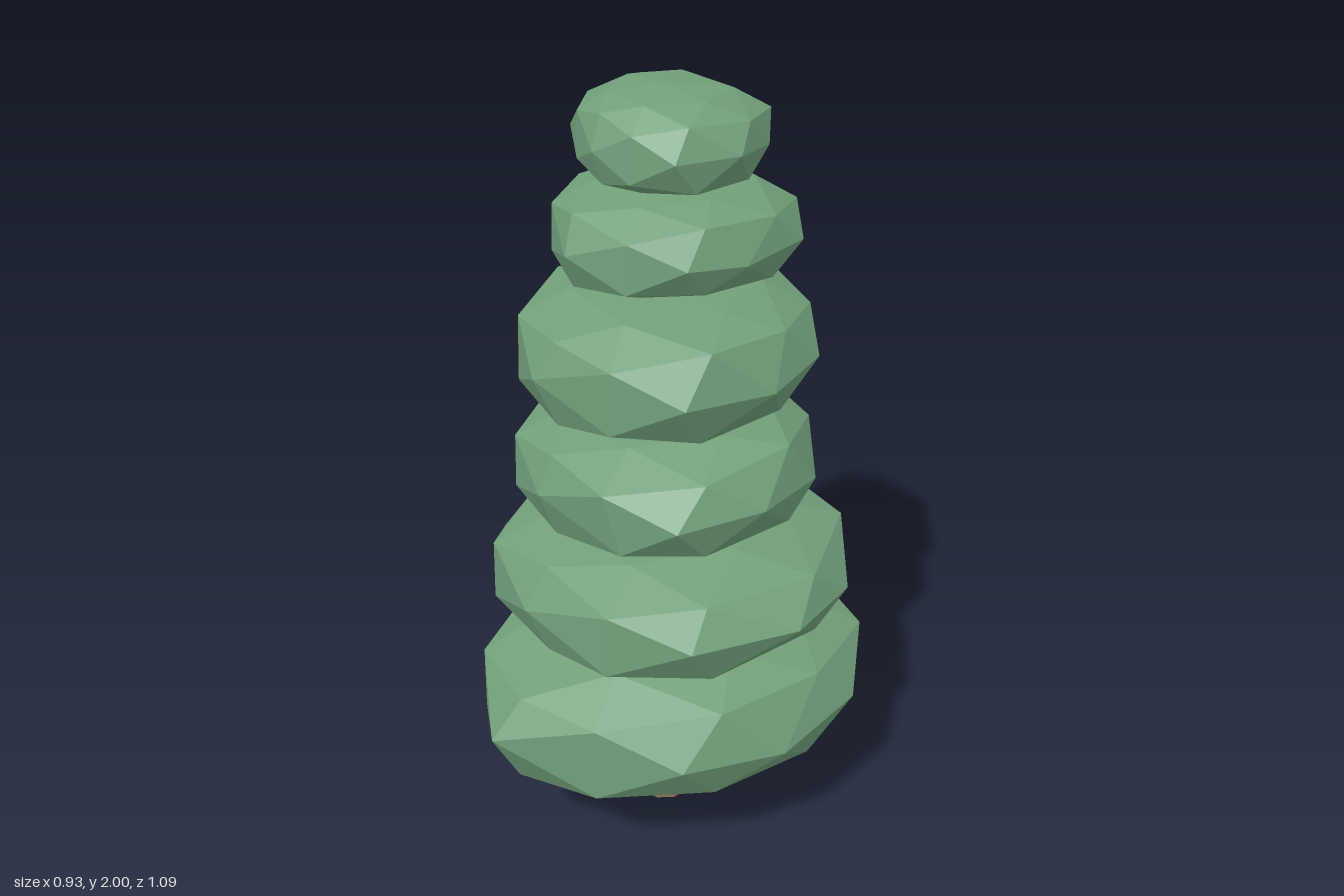
import * as THREE from 'three';
import { mergeVertices } from 'three/addons/utils/BufferGeometryUtils.js';

// Small seeded generator for the irregular foliage
function seeded(seed) {
  let s = seed;
  return () => {
    s = (s * 16807) % 2147483647;
    return s / 2147483647;
  };
}

// Radius of a plan outline given by 12 radii, 30 degrees apart, from +x towards +z
function outlineRadius(radii, angle) {
  const t = ((angle / (Math.PI * 2) + 1) % 1) * radii.length;
  const i = Math.floor(t);
  return THREE.MathUtils.lerp(radii[i % radii.length], radii[(i + 1) % radii.length], t - i);
}

// Faceted cushion with flattened top and underside, following a plan outline
function foliageGeometry({ bottom, top, radii }, seed) {
  let geo = new THREE.IcosahedronGeometry(1, 1);
  geo.deleteAttribute('normal');
  geo.deleteAttribute('uv');
  geo = mergeVertices(geo, 1e-3);
  const random = seeded(seed);
  const jitter = (amount) => (random() - 0.5) * amount;
  const middle = (top + bottom) / 2;
  const half = (top - bottom) / 2;

  const pos = geo.attributes.position;
  const p = new THREE.Vector3();
  for (let i = 0; i < pos.count; i++) {
    p.fromBufferAttribute(pos, i);
    const angle = Math.atan2(p.z, p.x);
    const spread = Math.hypot(p.x, p.z) ** 0.85 * (1.02 + jitter(0.05));
    const r = spread * outlineRadius(radii, angle);
    const turn = angle + jitter(0.12);
    const rise = Math.sign(p.y) * Math.abs(p.y) ** 0.65;
    const lift = Math.abs(p.y) < 0.7 ? jitter(0.18) : 0;
    pos.setXYZ(i, r * Math.cos(turn), middle + half * (rise + lift), r * Math.sin(turn));
  }
  geo.computeVertexNormals();
  return geo;
}

export function createModel() {
  const tree = new THREE.Group();
  tree.name = 'layeredTree';

  const bark = new THREE.MeshStandardMaterial({ color: 0x8a7357, flatShading: true });
  const leaves = new THREE.MeshStandardMaterial({ color: 0x72a07a, flatShading: true });

  // Tapered trunk running up through the foliage
  const trunk = new THREE.Mesh(new THREE.CylinderGeometry(0.058, 0.077, 1.7, 10), bark);
  trunk.position.y = 0.85;
  trunk.name = 'trunk';
  tree.add(trunk);

  // Foliage layers from the ground up
  const layers = [
    { bottom: 0.23, top: 0.635, radii: [0.47, 0.455, 0.48, 0.54, 0.484, 0.435, 0.455, 0.485, 0.465, 0.53, 0.53, 0.495] },
    { bottom: 0.615, top: 0.935, radii: [0.46, 0.43, 0.43, 0.42, 0.44, 0.42, 0.42, 0.44, 0.43, 0.465, 0.47, 0.47] },
    { bottom: 0.925, top: 1.235, radii: [0.37, 0.38, 0.37, 0.365, 0.37, 0.37, 0.36, 0.37, 0.37, 0.365, 0.38, 0.38] },
    { bottom: 1.225, top: 1.545, radii: [0.355, 0.36, 0.36, 0.365, 0.35, 0.345, 0.335, 0.35, 0.35, 0.365, 0.35, 0.36] },
    { bottom: 1.555, top: 1.795, radii: [0.285, 0.275, 0.275, 0.29, 0.26, 0.26, 0.24, 0.255, 0.275, 0.26, 0.315, 0.315] },
    { bottom: 1.78, top: 2, radii: [0.235, 0.215, 0.2, 0.195, 0.195, 0.215, 0.215, 0.21, 0.22, 0.19, 0.235, 0.235] },
  ];
  layers.forEach((layer, i) => {
    const mesh = new THREE.Mesh(foliageGeometry(layer, 7919 * (i + 3)), leaves);
    mesh.name = `foliageLayer${i + 1}`;
    tree.add(mesh);
  });

  return tree;
}
